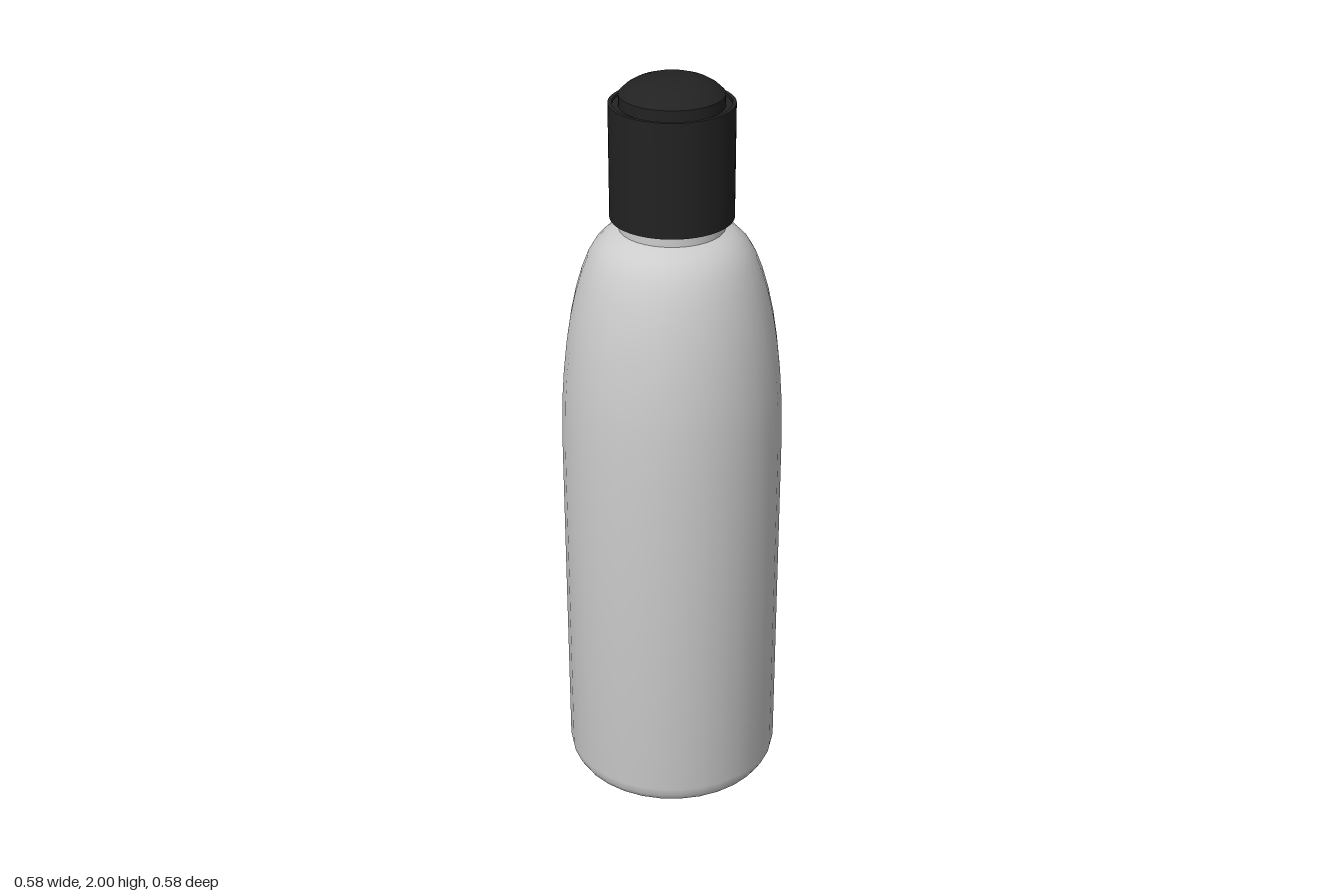
import * as THREE from 'three';
import { toCreasedNormals } from 'three/addons/utils/BufferGeometryUtils.js';

// Turns a profile of [radius, height] pairs, keeping hard corners sharp.
function turned(name, profile, sides, material) {
  const points = profile.map(([r, y]) => new THREE.Vector2(r, y));
  const geometry = toCreasedNormals(new THREE.LatheGeometry(points, sides), 0.6);
  const mesh = new THREE.Mesh(geometry, material);
  mesh.name = name;
  return mesh;
}

export function createModel() {
  const plastic = new THREE.MeshStandardMaterial({ color: 0xcccccc });
  plastic.name = 'light grey plastic';
  const black = new THREE.MeshStandardMaterial({ color: 0x222222 });
  black.name = 'black plastic';

  const bottle = new THREE.Group();
  bottle.name = 'bottle';

  // Body: stepped hollow base, rounded foot, straight wall and sloping shoulder
  bottle.add(turned('body', [
    [0, 0.06], [0.085, 0.06], [0.11, 0.04], [0.175, 0.04], [0.19, 0.03],
    [0.215, 0.005], [0.22, 0], [0.235, 0],
    [0.258, 0.006], [0.275, 0.018], [0.286, 0.037], [0.29, 0.06],
    [0.29, 1.02], [0.286, 1.15], [0.281, 1.22], [0.272, 1.3], [0.261, 1.37],
    [0.247, 1.435], [0.231, 1.49], [0.213, 1.537], [0.195, 1.567],
    [0.175, 1.588], [0.155, 1.602], [0.135, 1.61],
  ], 32, plastic));

  // Neck, running up inside the cap
  bottle.add(turned('neck', [[0.135, 1.605], [0.135, 1.66]], 32, plastic));

  // Cap: straight collar with an open-looking underside
  bottle.add(turned('cap', [
    [0.13, 1.655], [0.148, 1.655], [0.15, 1.64], [0.157, 1.64],
    [0.157, 1.935], [0.147, 1.935], [0.147, 1.928], [0.125, 1.928],
  ], 64, black));

  // Domed press top
  bottle.add(turned('pressTop', [
    [0.131, 1.925], [0.131, 1.957], [0.115, 1.972], [0.095, 1.984],
    [0.07, 1.993], [0.04, 1.998], [0, 2],
  ], 64, black));

  return bottle;
}
